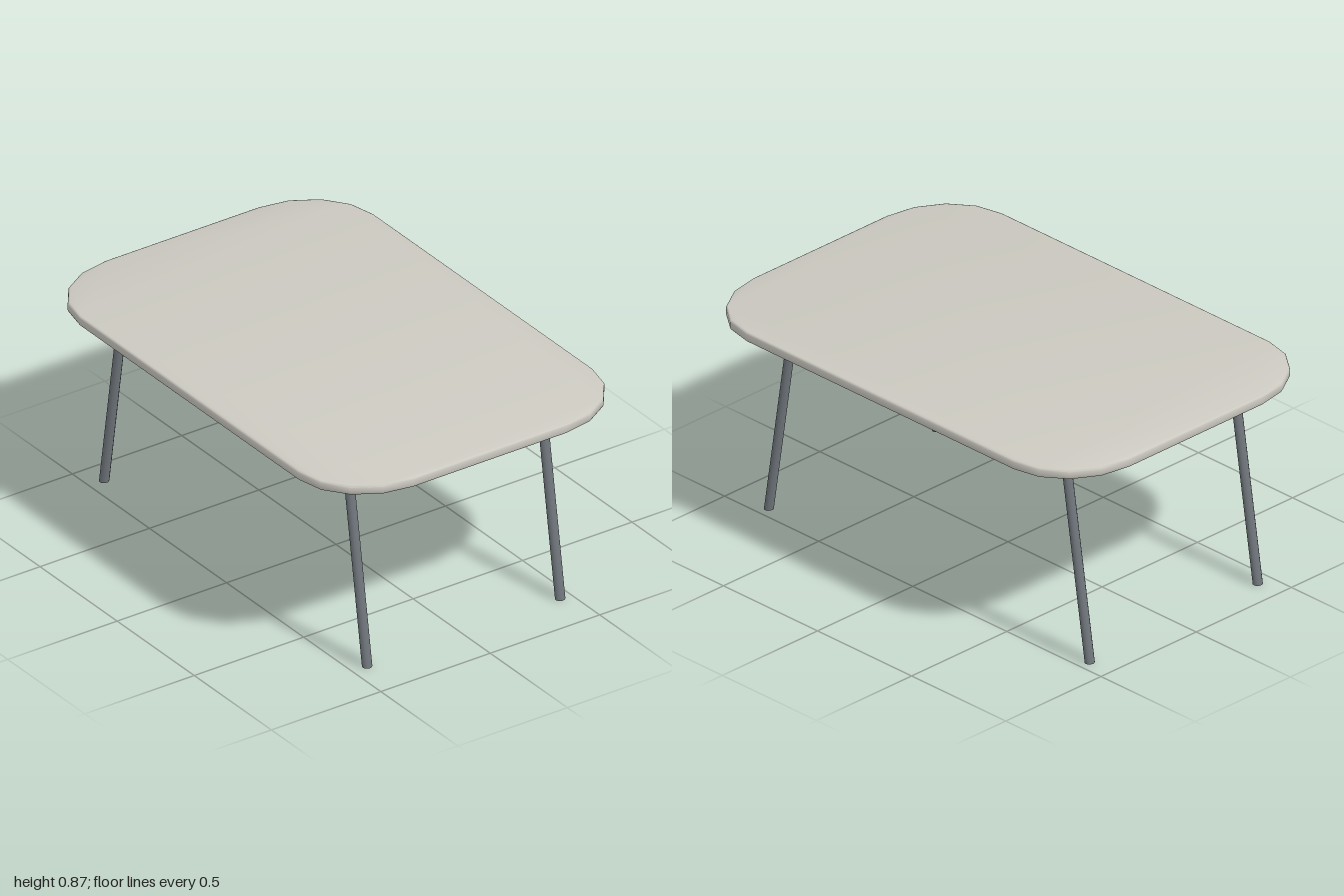
import * as THREE from 'three';
import { toCreasedNormals } from 'three/addons/utils/BufferGeometryUtils.js';

const UNDERSIDE = 0.83, THICKNESS = 0.04, SPLAY = 0.157;

// Rounded slab: four-segment elliptical corners with a softened rim
function makeTop(material) {
  const points = [];
  const corners = [[1, 1], [-1, 1], [-1, -1], [1, -1]];
  corners.forEach(([sx, sz], c) => {
    for (let i = 0; i <= 4; i++) {
      const a = (c + i / 4) * Math.PI / 2;
      points.push(new THREE.Vector2(
        sx * 0.71 + 0.29 * Math.cos(a),
        sz * 0.35 + 0.322 * Math.sin(a)
      ));
    }
  });
  const bevel = 0.008;
  const geometry = new THREE.ExtrudeGeometry(new THREE.Shape(points), {
    depth: THICKNESS - 2 * bevel,
    bevelThickness: bevel, bevelSize: bevel, bevelOffset: -bevel, bevelSegments: 2,
  });
  geometry.rotateX(-Math.PI / 2).translate(0, UNDERSIDE + bevel, 0);
  const top = new THREE.Mesh(toCreasedNormals(geometry, 0.85), material);
  top.name = 'tableTop';
  return top;
}

// Leg section between two heights, sheared outward so its ends stay level
function makeSection(name, y0, y1, side, material) {
  const geometry = new THREE.CylinderGeometry(0.02, 0.02, y1 - y0, 12);
  geometry.scale(0.92, 1, 1).translate(0, (y0 + y1) / 2, 0);
  const shear = new THREE.Matrix4().set(
    1, -side * SPLAY, 0, 0,
    0, 1, 0, 0,
    0, 0, 1, 0,
    0, 0, 0, 1
  );
  geometry.applyMatrix4(shear);
  const mesh = new THREE.Mesh(geometry, material);
  mesh.name = name;
  return mesh;
}

export function createModel() {
  const model = new THREE.Group();
  model.name = 'table';
  const pale = new THREE.MeshStandardMaterial({ color: 0xcbc9c0 });
  const dark = new THREE.MeshStandardMaterial({ color: 0x70767c });

  model.add(makeTop(pale));

  // Four splayed legs: dark shaft with a pale collar under the top
  for (const [side, footX] of [[1, 0.815], [-1, -0.89]]) {
    for (const [end, z] of [['front', 0.432], ['back', -0.45]]) {
      const leg = new THREE.Group();
      leg.name = end + (side > 0 ? 'Left' : 'Right') + 'Leg';
      leg.add(
        makeSection('shaft', 0, 0.762, side, dark),
        makeSection('collar', 0.762, UNDERSIDE + 0.005, side, pale)
      );
      leg.position.set(footX, 0, z);
      model.add(leg);
    }
  }
  return model;
}
